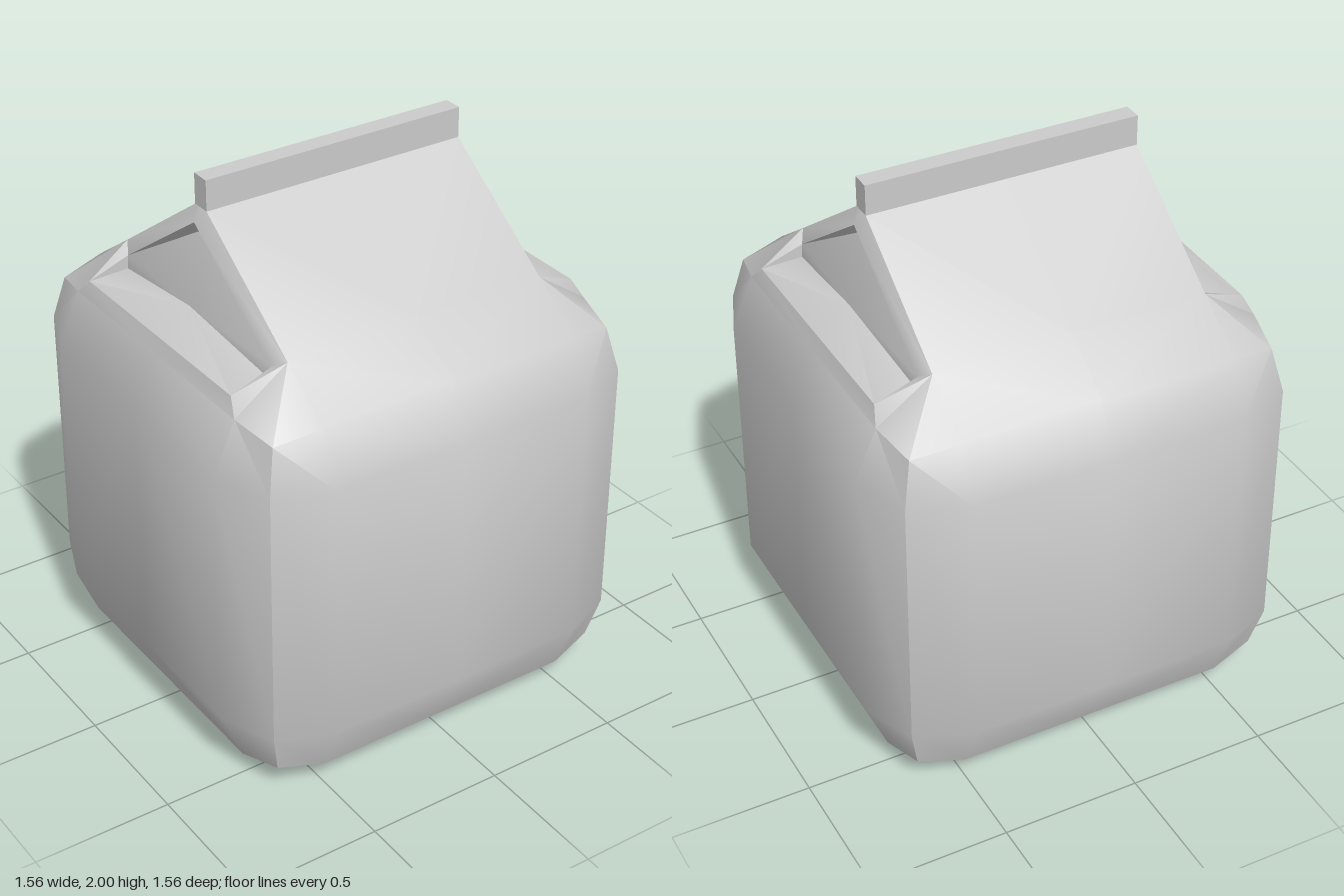
import * as THREE from 'three';
import { toCreasedNormals } from 'three/addons/utils/BufferGeometryUtils.js';

export function createModel() {
  const group = new THREE.Group();
  const material = new THREE.MeshStandardMaterial({ color: 0xcccccc });
  const positions = [];

  // Adds a convex polygon (counter-clockwise from outside) to all four quarters.
  function poly(...pts) {
    for (const sx of [1, -1]) for (const sz of [1, -1]) {
      for (let i = 1; i < pts.length - 1; i++) {
        const tri = [pts[0], pts[i], pts[i + 1]];
        if (sx * sz < 0) tri.reverse();
        for (const [x, y, z] of tri) positions.push(x * sx, y, z * sz);
      }
    }
  }
  // Fills rows of points with quads; rows run left to right, bottom to top.
  function grid(rows) {
    for (let r = 0; r < rows.length - 1; r++) {
      for (let c = 0; c < rows[r].length - 1; c++) {
        poly(rows[r][c], rows[r][c + 1], rows[r + 1][c + 1], rows[r + 1][c]);
      }
    }
  }

  // Softly bulging front wall, and the same wall turned to the side
  const wall = [
    [[0, 0.08, 0.7], [0.5, 0.08, 0.7], [0.665, 0.115, 0.665]],
    [[0, 0.27, 0.78], [0.5, 0.27, 0.78], [0.7, 0.27, 0.7]],
    [[0, 1.23, 0.78], [0.5, 1.23, 0.78], [0.7, 1.23, 0.7]],
    [[0, 1.42, 0.7], [0.5, 1.42, 0.7], [0.665, 1.39, 0.665]],
  ];
  grid(wall);
  grid(wall.map((row) => row.map(([x, y, z]) => [z, y, x]).reverse()));

  // Bulging base
  grid([
    [[0, 0, 0], [0.5, 0, 0], [0.7, 0.08, 0]],
    [[0, 0, 0.5], [0.5, 0, 0.5], [0.7, 0.08, 0.5]],
    [[0, 0.08, 0.7], [0.5, 0.08, 0.7], [0.665, 0.115, 0.665]],
  ]);

  // Sloping roof panel
  grid([[1.42, 0.7], [1.56, 0.5], [1.89, 0.035]].map(([y, z]) => [[0, y, z], [0.5, y, z]]));

  // Shoulder between roof, wall corner and side shelf
  const eave = [0.5, 1.56, 0.5], lipEnd = [0.527, 1.53, 0.45];
  const sideTop = [0.7, 1.42, 0.5], shelfEnd = [0.68, 1.475, 0.45];
  poly(eave, [0.5, 1.42, 0.7], [0.665, 1.39, 0.665], sideTop, shelfEnd, lipEnd);
  poly([0.7, 1.42, 0], [0.68, 1.475, 0], shelfEnd, sideTop);

  // Lip along the roof edge, with its underside
  const ridge = [0.5, 1.89, 0.035], lipTop = [0.527, 1.845, 0], gableTop = [0.45, 1.81, 0];
  poly(eave, lipEnd, lipTop, ridge);
  poly(ridge, lipTop, [0.5, 1.89, 0]);
  poly(lipEnd, gableTop, lipTop);

  // Recessed, slightly folded gable and the shelf below it
  const gableCorner = [0.53, 1.48, 0.45], gableFoot = [0.556, 1.55, 0];
  poly(lipEnd, gableCorner, gableFoot, gableTop);
  poly(shelfEnd, [0.68, 1.475, 0], gableFoot, gableCorner);
  poly(shelfEnd, gableCorner, lipEnd);

  const shell = new THREE.BufferGeometry();
  shell.setAttribute('position', new THREE.Float32BufferAttribute(positions, 3));
  const carton = new THREE.Mesh(toCreasedNormals(shell, 0.62), material);
  carton.name = 'carton';
  group.add(carton);

  // Upright sealed strip on the ridge
  const seal = new THREE.Mesh(new THREE.BoxGeometry(1, 0.11, 0.07), material);
  seal.position.y = 1.945;
  seal.name = 'topSeal';
  group.add(seal);

  return group;
}
